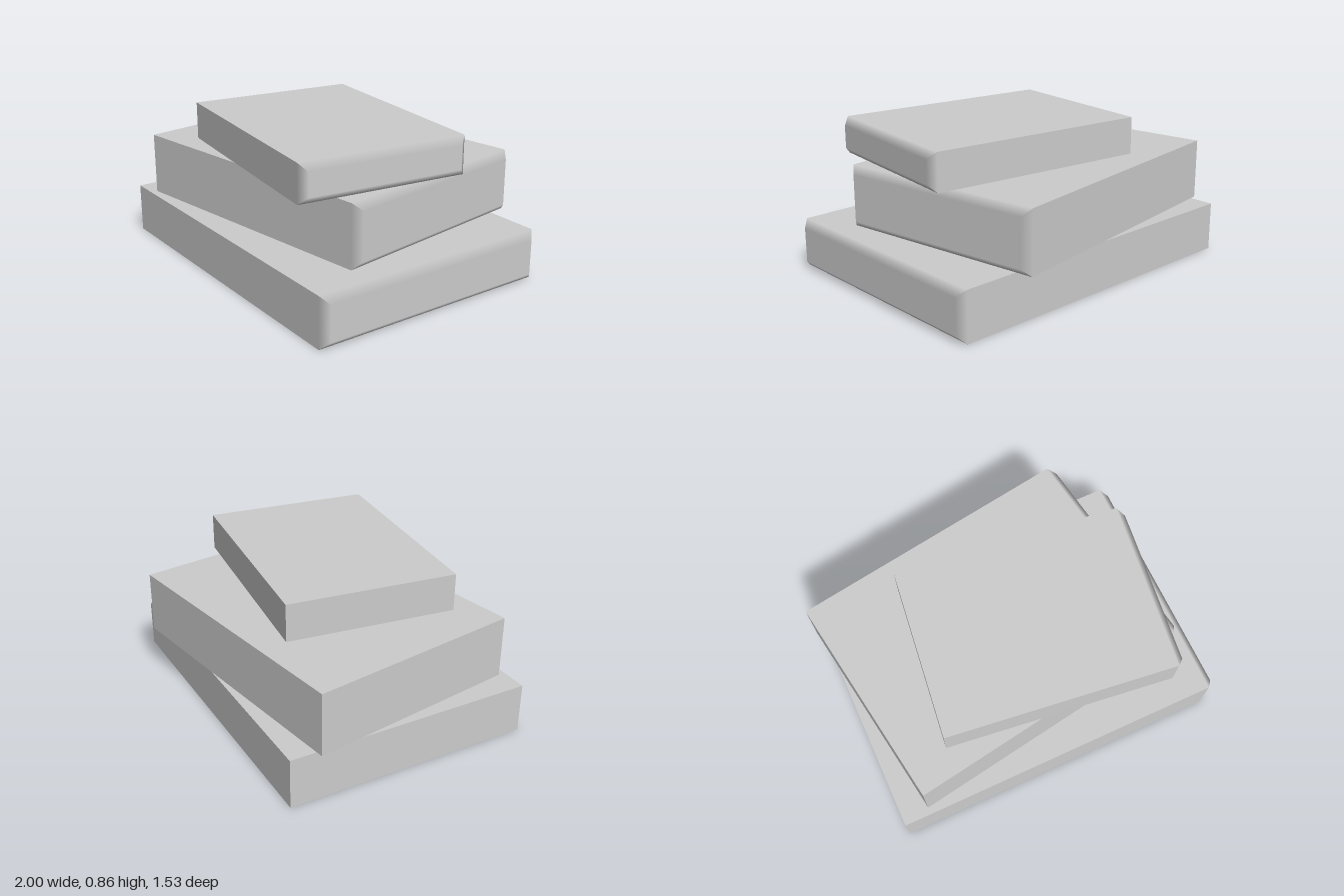
import * as THREE from 'three';

const BEVEL = 0.042;
// Corners of a cross-section as (y, z) signs, and the normals of the faces between them
const CORNERS = [[1, -1], [1, 1], [-1, 1], [-1, -1]];
const SIDES = [[0, 1, 0], [0, 0, 1], [0, -1, 0], [0, 0, -1]];

// Slab from x = 0 to x = length, with a softly bevelled spine at the +x end
function bookGeometry(length, height, width) {
  const positions = [], normals = [];
  const ring = (x, inset) => CORNERS.map(([y, z]) =>
    [x, height / 2 + y * (height / 2 - inset), z * (width / 2 - inset)]);
  const quad = (points, quadNormals) => {
    for (const i of [0, 1, 2, 0, 2, 3]) {
      positions.push(...points[i]);
      normals.push(...quadNormals[i]);
    }
  };
  const back = ring(0, 0), outer = ring(length - BEVEL, 0), inner = ring(length, BEVEL);
  const spine = [1, 0, 0], end = [-1, 0, 0];

  for (let i = 0; i < 4; i++) {
    const j = (i + 1) % 4, n = SIDES[i];
    quad([back[i], back[j], outer[j], outer[i]], [n, n, n, n]);
    // The bevel blends smoothly from the cover into the spine
    quad([outer[i], outer[j], inner[j], inner[i]], [n, n, spine, spine]);
  }
  quad(inner, [spine, spine, spine, spine]);
  quad([...back].reverse(), [end, end, end, end]);

  const geometry = new THREE.BufferGeometry();
  geometry.setAttribute('position', new THREE.Float32BufferAttribute(positions, 3));
  geometry.setAttribute('normal', new THREE.Float32BufferAttribute(normals, 3));
  return geometry;
}

export function createModel() {
  const group = new THREE.Group();
  group.name = 'bookStack';
  const grey = new THREE.MeshStandardMaterial({ color: 0xcccccc });
  grey.name = 'light grey';

  // at: middle of the lower edge opposite the spine; turn: angle about y
  const books = [
    { name: 'bottomBook', size: [1.96, 0.285, 1.425], at: [-0.96, 0, 0.0475], turn: 0 },
    { name: 'middleBook', size: [1.685, 0.355, 1.245], at: [-0.9025, 0.285, 0.105], turn: 0.156 },
    { name: 'topBook', size: [1.335, 0.215, 0.973], at: [-0.535, 0.64, 0.0525], turn: -0.123 },
  ];
  for (const { name, size, at, turn } of books) {
    const book = new THREE.Mesh(bookGeometry(...size), grey);
    book.name = name;
    book.position.set(...at);
    book.rotation.y = turn;
    group.add(book);
  }
  return group;
}
